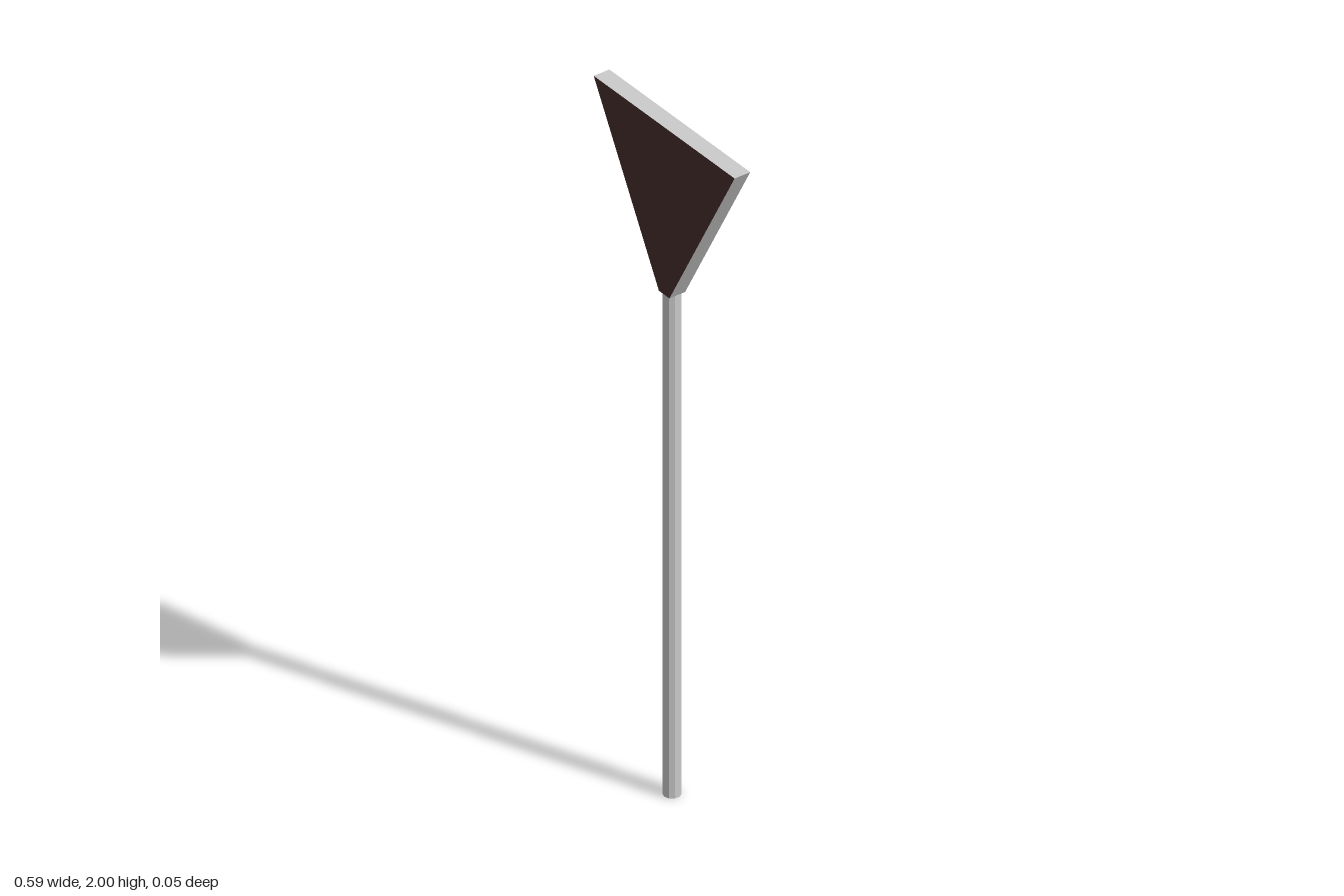
import * as THREE from 'three';

export function createModel() {
  const model = new THREE.Group();
  const grey = new THREE.MeshStandardMaterial({ color: 0xcccccc, flatShading: true });
  const dark = new THREE.MeshStandardMaterial({ color: 0x482e2e, flatShading: true });

  const joint = 1.5, top = 2, depth = 0.049;

  // Slim faceted pole
  const post = new THREE.Mesh(new THREE.CylinderGeometry(0.024, 0.024, joint, 10), grey);
  post.name = 'post';
  post.position.y = joint / 2;
  model.add(post);

  // Downward-pointing board with a blunt tip: dark faces, grey rim
  const outline = new THREE.Shape([
    new THREE.Vector2(-0.022, joint),
    new THREE.Vector2(0.022, joint),
    new THREE.Vector2(0.294, top),
    new THREE.Vector2(-0.294, top),
  ]);
  const boardGeometry = new THREE.ExtrudeGeometry(outline, { depth, bevelEnabled: false });
  boardGeometry.translate(0, 0, -depth / 2);
  const board = new THREE.Mesh(boardGeometry, [dark, grey]);
  board.name = 'signBoard';
  model.add(board);

  return model;
}
